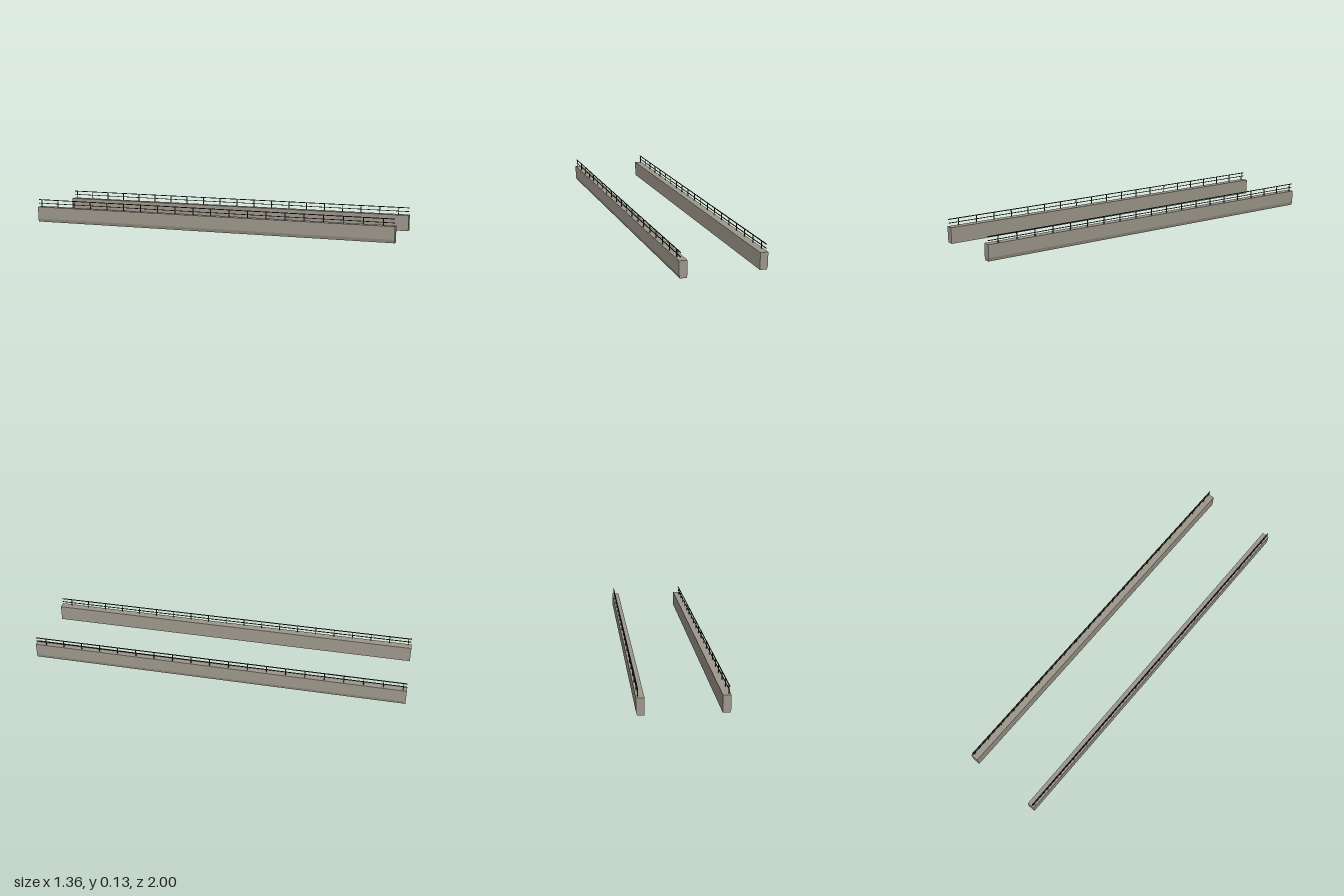
import * as THREE from 'three';

const HALF = 1.018;   // half length of each wall
const INNER = 0.18;   // inner face, measured from the centre line
const OUTER = 0.22;   // outer face
const TOP = 0.085;    // wall height
const RAIL_X = 0.211; // railing line, close to the outer edge

const stone = new THREE.MeshStandardMaterial({ color: 0x9e988b });
const metal = new THREE.MeshStandardMaterial({ color: 0x2a2a2a });

function box(name, w, h, d, x, y, z, parent) {
  const mesh = new THREE.Mesh(new THREE.BoxGeometry(w, h, d), metal);
  mesh.name = name;
  mesh.position.set(x, y, z);
  parent.add(mesh);
  return mesh;
}

// One parapet wall with its railing; side is +1 (left) or -1 (right)
function parapet(side) {
  const group = new THREE.Group();
  group.name = side > 0 ? 'leftParapet' : 'rightParapet';

  // Wall section, undercut along the foot of the outer face
  const section = new THREE.Shape([
    [INNER, 0], [OUTER - 0.005, 0], [OUTER, 0.018], [OUTER, TOP], [INNER, TOP],
  ].map(([x, y]) => new THREE.Vector2(side * x, y)));
  const geometry = new THREE.ExtrudeGeometry(section, { depth: 2 * HALF, bevelEnabled: false });
  geometry.translate(0, 0, -HALF);
  const wall = new THREE.Mesh(geometry, stone);
  wall.name = 'wall';
  group.add(wall);

  // Railing: evenly spaced posts with two rails, falling slightly to the front
  const railing = new THREE.Group();
  railing.name = 'railing';
  const x = side * RAIL_X;
  for (let i = 0; i < 20; i++) {
    box('railPost', 0.004, 0.043, 0.004, x, 0.1025, -0.998 + i * 0.103, railing);
  }
  for (const y of [0.124, 0.104]) {
    const rail = box('rail', 0.004, y > 0.11 ? 0.004 : 0.003, 2 * HALF - 0.005, x, y, 0, railing);
    rail.rotation.x = 0.0018;
  }
  group.add(railing);
  return group;
}

export function createModel() {
  const model = new THREE.Group();
  model.name = 'bridgeParapets';
  const pair = new THREE.Group();
  pair.name = 'parapetPair';
  pair.add(parapet(1), parapet(-1));
  pair.rotation.y = 0.498; // the pair runs diagonally
  model.add(pair);
  return model;
}
